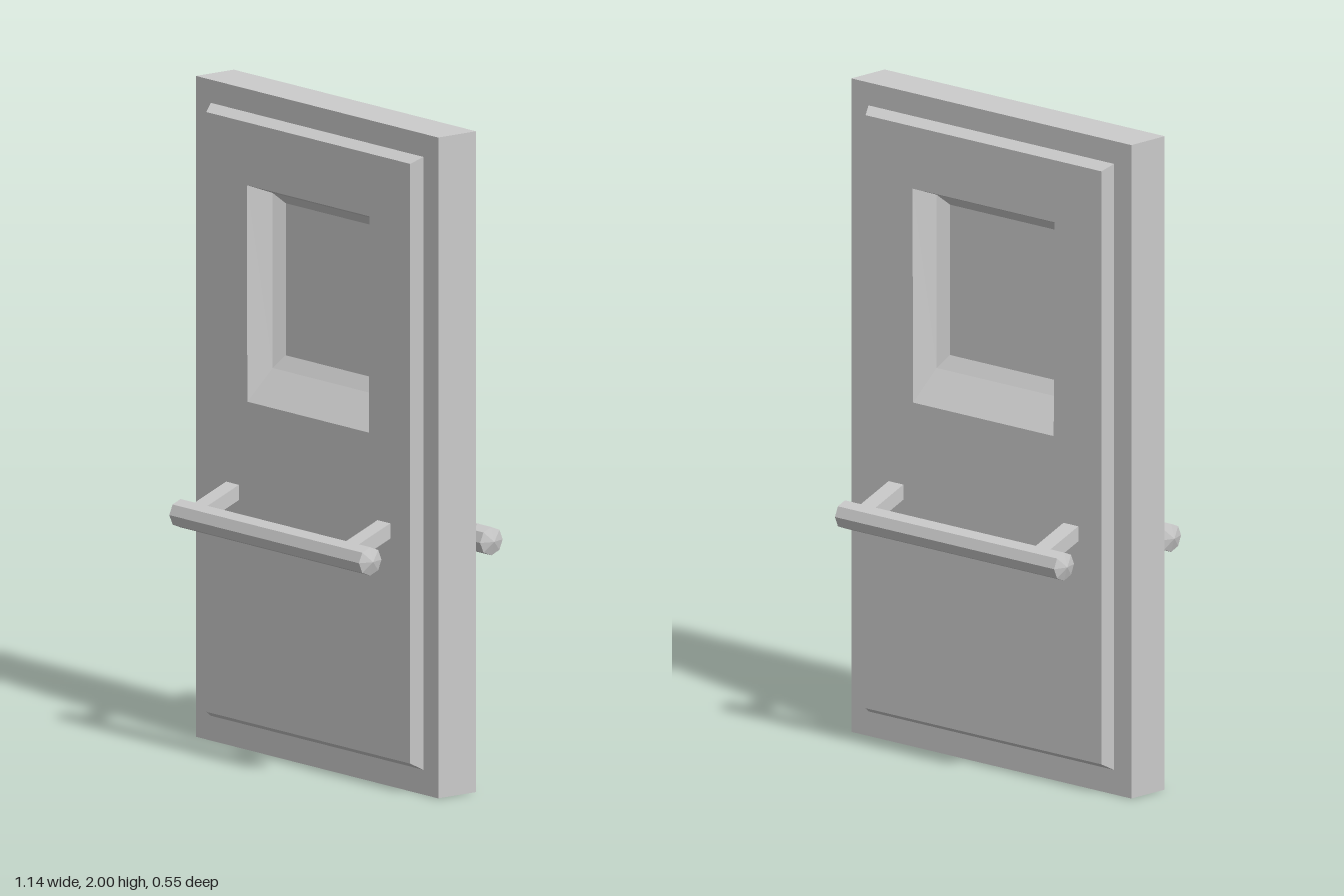
import * as THREE from 'three';

const material = new THREE.MeshStandardMaterial({ color: 0xcccccc, flatShading: true });

// Rectangle as four corners, counter-clockwise from the front; the top may be wider
const ring = (bottomX, topX, y0, y1, z) => [
  [-bottomX, y0, z], [bottomX, y0, z], [topX, y1, z], [-topX, y1, z],
];

// Joins rectangular rings, outermost first, and optionally fills the last one
function loftRings(name, rings, capped = false) {
  const positions = [];
  const quad = (a, b, c, d) => positions.push(...a, ...b, ...c, ...a, ...c, ...d);
  for (let i = 0; i + 1 < rings.length; i++) {
    for (let k = 0; k < 4; k++) {
      const n = (k + 1) % 4;
      quad(rings[i][k], rings[i][n], rings[i + 1][n], rings[i + 1][k]);
    }
  }
  if (capped) quad(...rings[rings.length - 1]);
  const geometry = new THREE.BufferGeometry();
  geometry.setAttribute('position', new THREE.Float32BufferAttribute(positions, 3));
  geometry.computeVertexNormals();
  const mesh = new THREE.Mesh(geometry, material);
  mesh.name = name;
  return mesh;
}

// Octagonal bar with pointed ends on two sloping brackets
function createHandle() {
  const handle = new THREE.Group();
  handle.name = 'handle';

  const profile = [[0, -0.46], [0.043, -0.446], [0.043, 0.446], [0, 0.46]]
    .map(([r, y]) => new THREE.Vector2(r, y));
  const bar = new THREE.Mesh(new THREE.LatheGeometry(profile, 8), material);
  bar.name = 'handleBar';
  bar.rotation.z = Math.PI / 2;
  bar.position.set(0, 0.718, 0.231);
  handle.add(bar);

  for (const side of [-1, 1]) {
    const bracket = new THREE.Mesh(new THREE.BoxGeometry(0.06, 0.043, 0.14), material);
    bracket.name = side > 0 ? 'leftBracket' : 'rightBracket';
    bracket.rotation.x = 0.38;
    bracket.position.set(side * 0.356, 0.763, 0.158);
    handle.add(bracket);
  }
  return handle;
}

// One half of the door: everything in front of the middle plane
function createFace(name) {
  const face = new THREE.Group();
  face.name = name;

  const frameFront = ring(0.57, 0.57, 0, 2, 0.072);
  const panelBase = ring(0.5, 0.5, 0.075, 1.93, 0.072);
  const panelFront = ring(0.48, 0.48, 0.095, 1.91, 0.106);
  const opening = ring(0.286, 0.289, 1.065, 1.72, 0.106);

  face.add(
    loftRings('frame', [ring(0.57, 0.57, 0, 2, 0), frameFront, panelBase]),
    loftRings('raisedPanel', [panelBase, panelFront, opening]),
    // Recess with two bevels down to the pane
    loftRings('windowRecess', [
      opening,
      ring(0.265, 0.265, 1.16, 1.69, 0.027),
      ring(0.235, 0.235, 1.2, 1.66, 0.001),
    ], true),
    createHandle(),
  );
  return face;
}

export function createModel() {
  const door = new THREE.Group();
  door.name = 'door';
  const back = createFace('backFace');
  back.rotation.y = Math.PI;
  door.add(createFace('frontFace'), back);
  return door;
}
